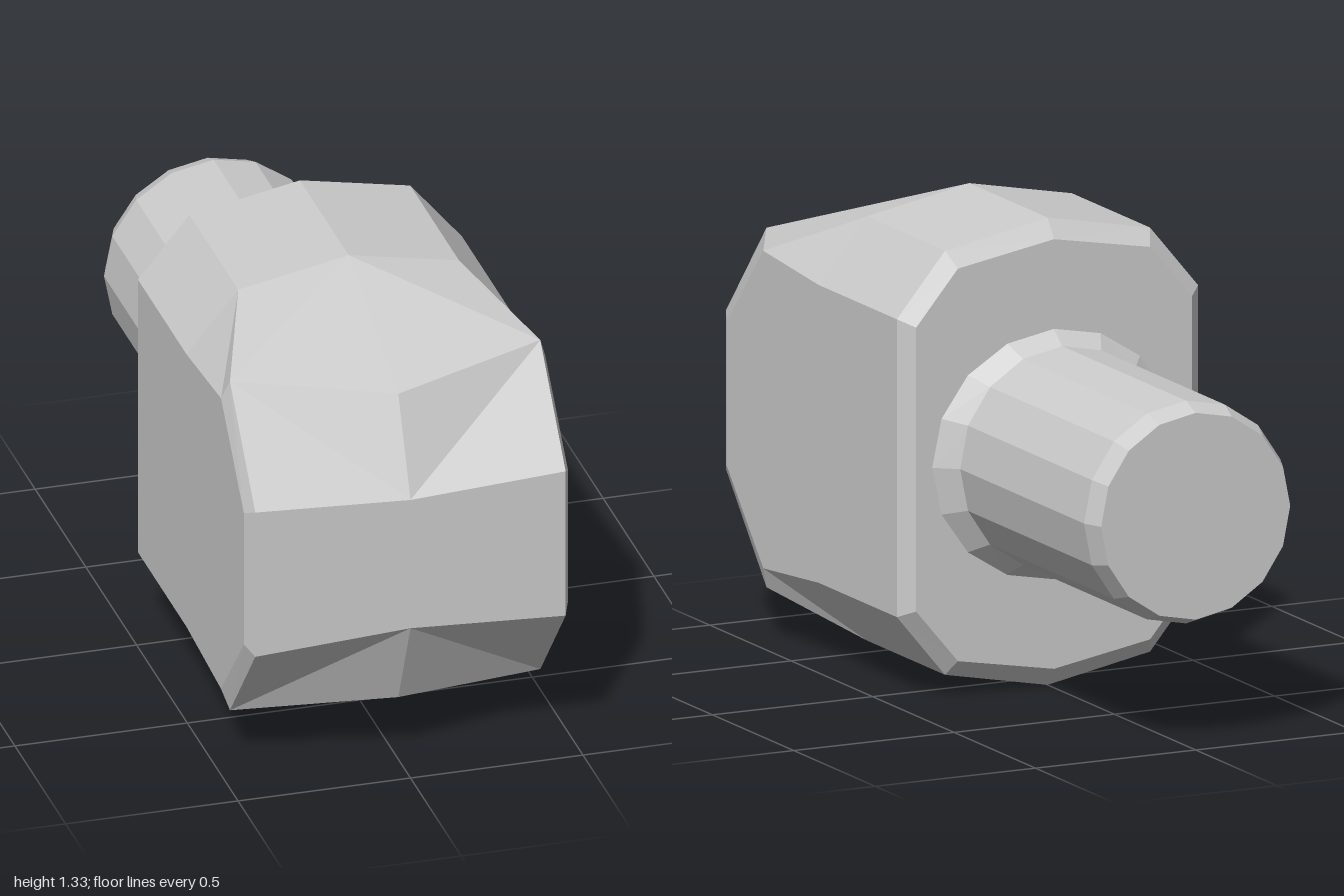
import * as THREE from 'three';

const MID = 0.667; // height of the shared axis
const material = new THREE.MeshStandardMaterial({ color: 0xcccccc, flatShading: true });

// Cross-sections of one quarter of the head, back to front: crown, shoulder, side
const rows = [
  [[0, 0.613, -0.13], [0.3, 0.56, -0.13], [0.43, 0.405, -0.13]],
  [[0, 0.667, -0.09], [0.32, 0.605, -0.09], [0.47, 0.425, -0.09]],
  [[0, 0.667, 0.39], [0.32, 0.605, 0.39], [0.47, 0.425, 0.39]],
  [[0, 0.473, 0.88], [0.45, 0.513, 0.75], [0.47, 0.453, 0.73]],
  [[0, 0.2, 1], [0.45, 0.225, 1], [0.47, 0.205, 0.955]],
];

function headGeometry() {
  const toAxis = ([x, , z]) => [x, 0, z];
  const quads = [];
  // Skin between sections, carried down to mid height at the side
  const skin = rows.map(r => [...r, toAxis(r[2])]);
  for (let j = 0; j < 4; j++) {
    for (let i = 0; i < 3; i++) {
      const q = [skin[j][i], skin[j + 1][i], skin[j + 1][i + 1], skin[j][i + 1]];
      if (j === 3 && i === 0) q.push(q.shift()); // turn the diagonal on the nose
      quads.push(q);
    }
  }
  // Flat back and front, down to mid height
  for (let i = 0; i < 2; i++) {
    const b = rows[0], f = rows[4];
    quads.push([toAxis(b[i]), b[i], b[i + 1], toAxis(b[i + 1])]);
    quads.push([f[i], toAxis(f[i]), toAxis(f[i + 1]), f[i + 1]]);
  }
  // Mirror the quarter left-right and up-down
  const pos = [];
  for (const sx of [1, -1]) {
    for (const sy of [1, -1]) {
      for (const [a, b, c, d] of quads) {
        const tris = sx * sy > 0 ? [a, b, c, a, c, d] : [a, c, b, a, d, c];
        for (const [x, y, z] of tris) pos.push(x * sx, y * sy, z);
      }
    }
  }
  const g = new THREE.BufferGeometry();
  g.setAttribute('position', new THREE.Float32BufferAttribute(pos, 3));
  g.computeVertexNormals();
  return g;
}

// Sixteen-sided turned part lying along -z; profile holds [radius, distance back]
function turned(name, profile) {
  const g = new THREE.LatheGeometry(profile.map(p => new THREE.Vector2(...p)), 16);
  g.rotateX(-Math.PI / 2);
  const mesh = new THREE.Mesh(g, material);
  mesh.name = name;
  mesh.position.y = MID;
  return mesh;
}

export function createModel() {
  const group = new THREE.Group();
  group.name = 'hammerHead';

  const head = new THREE.Mesh(headGeometry(), material);
  head.name = 'head';
  head.position.y = MID;
  group.add(head);

  // Round shaft with a chamfered end
  group.add(turned('shaft', [[0.318, 0.18], [0.318, 0.94], [0.295, 1], [0, 1]]));

  // Flared collar, slightly wider than tall
  const collar = turned('collar', [[0.38, 0.13], [0.318, 0.18]]);
  const p = collar.geometry.attributes.position;
  for (let i = 0; i < p.count; i++) {
    if (p.getZ(i) > -0.15) p.setY(i, p.getY(i) * 0.94);
  }
  collar.geometry.computeVertexNormals();
  group.add(collar);

  return group;
}
